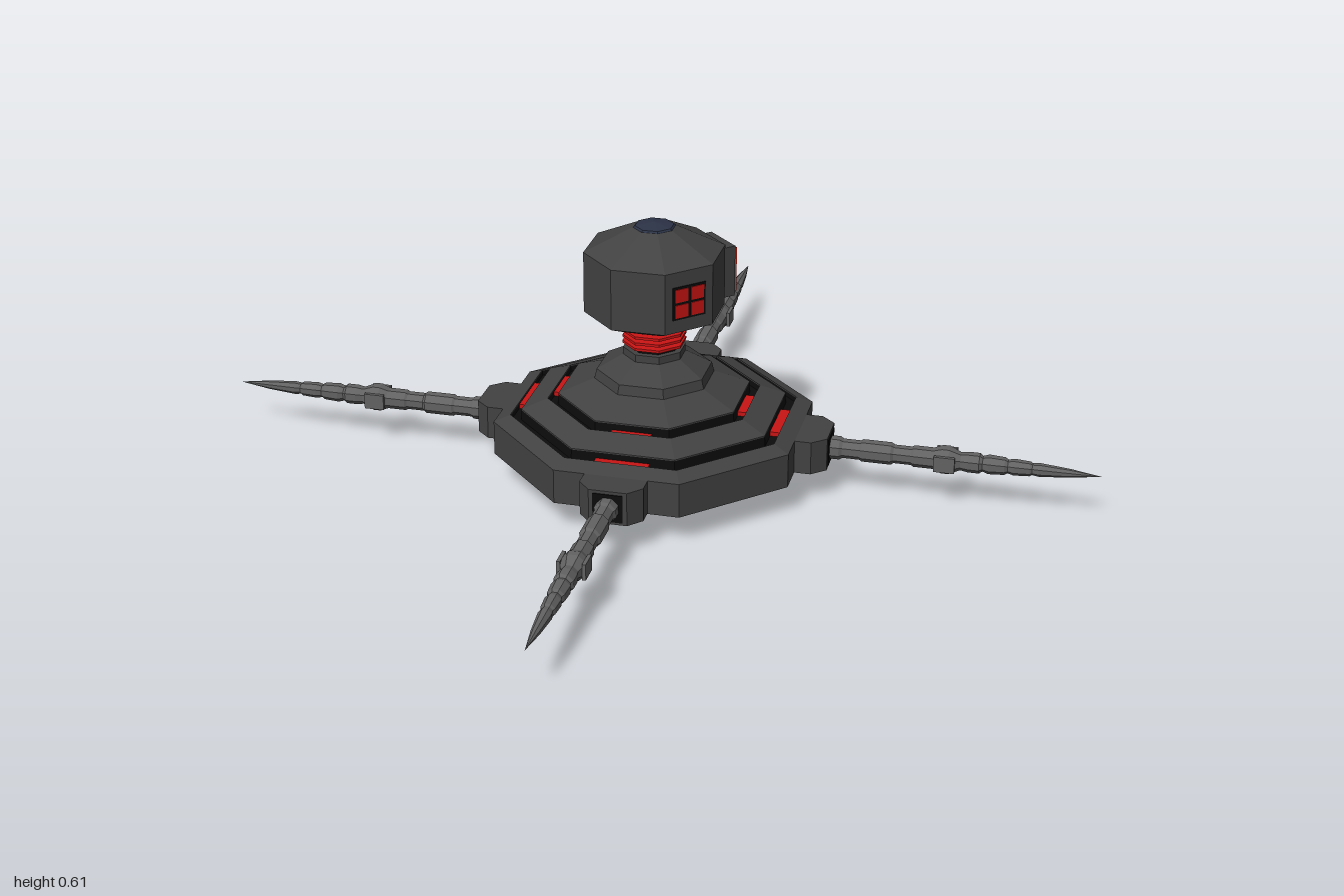
import * as THREE from 'three';

const mat = (color) => new THREE.MeshStandardMaterial({ color, flatShading: true, side: THREE.DoubleSide });
const hull = mat(0x424242), dark = mat(0x0c0c0c), limb = mat(0x626262);
const red = mat(0xc81414), bright = mat(0xff2a10), cap = mat(0x2c3346);

const add = (parent, name, geometry, material, x = 0, y = 0, z = 0) => {
  const mesh = new THREE.Mesh(geometry, material);
  mesh.name = name;
  mesh.position.set(x, y, z);
  parent.add(mesh);
  return mesh;
};
const box = (w, h, d) => new THREE.BoxGeometry(w, h, d);

// Octagonal turned solid; profile radii are measured to the flat sides
const octagon = (profile) => {
  const k = 1 / Math.cos(Math.PI / 8);
  const points = profile.map(([r, y]) => new THREE.Vector2(r * k, y));
  return new THREE.LatheGeometry(points, 8, Math.PI / 8);
};

function makeBody() {
  const g = new THREE.Group();
  g.name = 'body';
  add(g, 'hull', octagon([
    [0, 0], [0.13, 0], [0.335, 0.068], [0.335, 0.147], [0.3, 0.162], [0.3, 0.145],
    [0.277, 0.145], [0.277, 0.174], [0.222, 0.197], [0.222, 0.178], [0.2, 0.178],
    [0.2, 0.208], [0.125, 0.24], [0.12, 0.262], [0.065, 0.295], [0.065, 0.312], [0, 0.312],
  ]), hull);
  // Black floors of the two stepped grooves
  add(g, 'outerGroove', octagon([[0.3, 0.159], [0.299, 0.148], [0.278, 0.148], [0.277, 0.171]]), dark);
  add(g, 'innerGroove', octagon([[0.222, 0.194], [0.221, 0.181], [0.201, 0.181], [0.2, 0.205]]), dark);
  return g;
}

function makeNeck() {
  const g = new THREE.Group();
  g.name = 'neck';
  add(g, 'neckCore', octagon([[0.052, 0.3], [0.052, 0.4]]), dark);
  for (let i = 0; i < 3; i++) {
    const y = 0.32 + i * 0.014;
    add(g, 'neckRing', octagon([[0.05, y], [0.066, y + 0.002], [0.066, y + 0.008], [0.05, y + 0.01]]), red);
  }
  add(g, 'neckCollar', octagon([[0.05, 0.362], [0.07, 0.366], [0.07, 0.39]]), hull);
  return g;
}

// Rectangular frame, facing +z
function frame(w, h, holeW, holeH, depth) {
  const rect = (P, a, b) => {
    const p = new P();
    p.moveTo(-a / 2, -b / 2); p.lineTo(a / 2, -b / 2); p.lineTo(a / 2, b / 2); p.lineTo(-a / 2, b / 2);
    p.closePath();
    return p;
  };
  const s = rect(THREE.Shape, w, h);
  s.holes.push(rect(THREE.Path, holeW, holeH));
  return new THREE.ExtrudeGeometry(s, { depth, bevelEnabled: false });
}

function makeHead() {
  const g = new THREE.Group();
  g.name = 'head';
  add(g, 'headShell', octagon([
    [0, 0.38], [0.1, 0.38], [0.145, 0.402], [0.145, 0.542], [0.045, 0.594], [0, 0.594],
  ]), hull);
  add(g, 'headCap', octagon([[0.045, 0.592], [0.04, 0.598], [0, 0.605]]), cap);
  // Eye housing on one diagonal face
  const eye = new THREE.Group();
  eye.name = 'eye';
  eye.rotation.y = Math.PI * 0.75;
  eye.position.y = 0.47;
  add(eye, 'eyeHousing', box(0.1, 0.118, 0.05), hull, 0, 0, 0.153);
  add(eye, 'eyeFrame', frame(0.088, 0.104, 0.044, 0.058, 0.008), bright, 0, 0, 0.178);
  add(eye, 'eyeRecess', box(0.044, 0.058, 0.004), dark, 0, 0, 0.178);
  add(eye, 'eyeLens', box(0.022, 0.034, 0.006), red, 0, 0, 0.18);
  g.add(eye);
  // Four-pane windows on the two neighbouring diagonals
  for (const turn of [0.25, 1.25]) {
    const win = new THREE.Group();
    win.name = 'window';
    win.rotation.y = Math.PI * turn;
    win.position.y = 0.47;
    add(win, 'windowBack', box(0.082, 0.076, 0.004), dark, 0, 0, 0.145);
    for (const x of [-1, 1]) for (const y of [-1, 1])
      add(win, 'windowPane', box(0.032, 0.03, 0.004), red, x * 0.02, y * 0.018, 0.147);
    g.add(win);
  }
  return g;
}

// One arm with its hip mount and the light strips of that side, pointing along +z
function makeArm() {
  const g = new THREE.Group();
  g.name = 'arm';
  // Hip mount: plan outline extruded upward
  const plan = new THREE.Shape([
    [-0.07, 0.32], [0.07, 0.32], [0.07, 0.372], [0.042, 0.403], [-0.042, 0.403], [-0.07, 0.372],
  ].map(([x, z]) => new THREE.Vector2(x, -z)));
  const hip = add(g, 'hipMount', new THREE.ExtrudeGeometry(plan, { depth: 0.077, bevelEnabled: false }), hull, 0, 0.07);
  hip.rotation.x = -Math.PI / 2;
  add(g, 'hipSocket', box(0.066, 0.064, 0.006), dark, 0, 0.108, 0.402);
  // Ribbed upper arm, then segmented pointed forearm
  const tube = (name, profile) => {
    add(g, name, octagon(profile), limb, 0, 0.108, 0).rotation.x = Math.PI / 2;
  };
  tube('upperArm', [
    [0, 0.39], [0.024, 0.39], [0.024, 0.425], [0.02, 0.432], [0.02, 0.47], [0.023, 0.475],
    [0.023, 0.54], [0.019, 0.546], [0.019, 0.585], [0.022, 0.59], [0.022, 0.635], [0, 0.64],
  ]);
  tube('elbow', [[0, 0.62], [0.02, 0.628], [0.029, 0.652], [0.029, 0.668], [0.018, 0.695], [0, 0.7]]);
  tube('forearm', [
    [0, 0.68], [0.017, 0.685], [0.021, 0.71], [0.021, 0.735], [0.016, 0.742], [0.02, 0.755], [0.018, 0.79],
    [0.014, 0.797], [0.017, 0.81], [0.015, 0.845], [0.012, 0.85], [0.014, 0.865], [0.009, 0.93], [0, 1],
  ]);
  for (const s of [-1, 1])
    add(g, 'elbowPlate', box(0.008, 0.036, 0.046), limb, s * 0.027, 0.108, 0.66);
  // Red light strips set in the grooves
  add(g, 'outerLight', box(0.12, 0.012, 0.022), red, 0, 0.152, 0.288);
  add(g, 'innerLight', box(0.09, 0.012, 0.021), red, 0, 0.185, 0.211);
  return g;
}

export function createModel() {
  const model = new THREE.Group();
  model.name = 'probe';
  model.add(makeBody(), makeNeck(), makeHead());
  for (let i = 0; i < 4; i++) {
    const arm = makeArm();
    arm.rotation.y = i * Math.PI / 2;
    model.add(arm);
  }
  return model;
}
